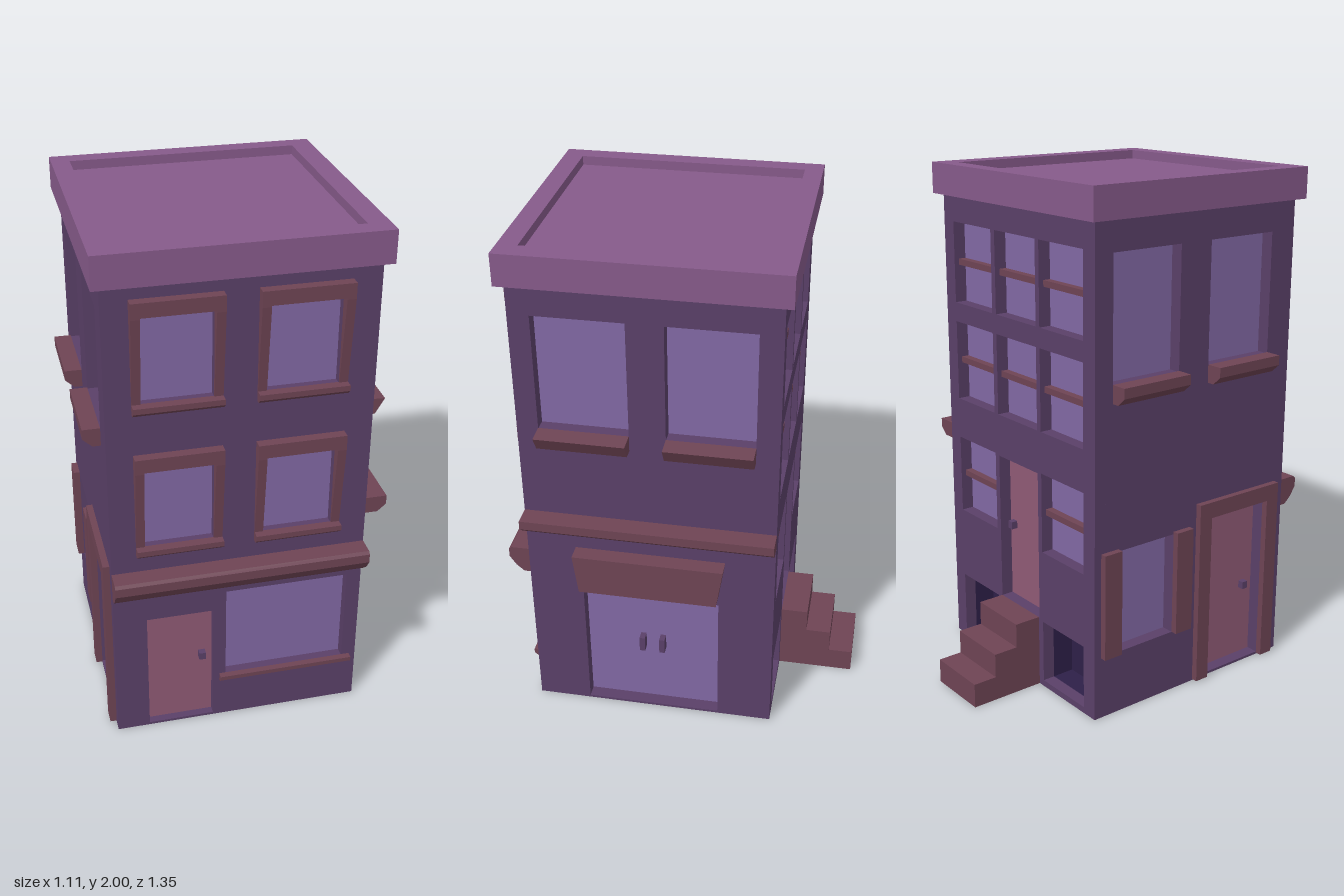
import * as THREE from 'three';

const mat = (color) => new THREE.MeshStandardMaterial({ color, side: THREE.DoubleSide });
const WALL = mat(0x5a4068), GLASS = mat(0x8168a4), TRIM = mat(0x6e4454);
const DOOR = mat(0x8f5a75), ROOF = mat(0x865a8a), DARK = mat(0x2e2048), KNOB = mat(0x5a4068);
const X0 = -0.49, X1 = 0.47, Z0 = -0.37, Z1 = 0.59, H = 1.88, T = 0.05;

function add(group, name, geometry, material) {
  const mesh = new THREE.Mesh(geometry, material);
  mesh.name = name;
  group.add(mesh);
  return mesh;
}

// Box from ranges: u across, y up, d outward
function box(group, name, [u0, u1], [y0, y1], [d0, d1], material) {
  const g = new THREE.BoxGeometry(u1 - u0, y1 - y0, d1 - d0);
  g.translate((u0 + u1) / 2, (y0 + y1) / 2, (d0 + d1) / 2);
  return add(group, name, g, material);
}

const polygon = (points) => new THREE.Shape(points.map(([x, y]) => new THREE.Vector2(x, y)));
const rect = ([u0, u1], [y0, y1]) => [[u0, y0], [u1, y0], [u1, y1], [u0, y1]];

// Profile of [d, y] points drawn out along u
function moulding(group, name, [u0, u1], points, material = TRIM) {
  const g = new THREE.ExtrudeGeometry(polygon(points), { depth: u1 - u0, bevelEnabled: false });
  g.rotateY(-Math.PI / 2).translate(u1, 0, 0);
  return add(group, name, g, material);
}

// Ledge with a chamfered lower edge
function ledge(group, name, u, [y0, y1], d, lip = 0.45) {
  const h = y1 - y0;
  moulding(group, name, u, [[0, y0], [d - h * 0.5, y0], [d, y0 + h * lip], [d, y1], [0, y1]]);
}

// One side of the building: wall pierced by openings, each closed by a recessed pane
function facade(root, name, position, angle, [u0, u1], openings) {
  const group = new THREE.Group();
  group.name = name;
  group.position.set(...position);
  group.rotation.y = angle;
  root.add(group);
  const shape = polygon(rect([u0, u1], [0, H]));
  for (const o of openings) {
    shape.holes.push(polygon(rect(o.u, o.y)));
    if (o.kind === 'basement') {
      const niche = box(group, 'basementNiche', o.u, o.y, [-0.14, -T], DARK);
      niche.material = DARK.clone();
      niche.material.side = THREE.BackSide;
      continue;
    }
    const depth = o.depth ?? T;
    const pane = new THREE.PlaneGeometry(o.u[1] - o.u[0], o.y[1] - o.y[0]);
    pane.translate((o.u[0] + o.u[1]) / 2, (o.y[0] + o.y[1]) / 2, -depth);
    add(group, o.kind === 'door' ? 'door' : 'windowPane', pane, o.kind === 'door' ? DOOR : GLASS);
  }
  const g = new THREE.ExtrudeGeometry(shape, { depth: T, bevelEnabled: false });
  add(group, name + 'Wall', g.translate(0, 0, -T), WALL);
  return group;
}

function knob(group, u, y, depth = T) {
  box(group, 'doorKnob', [u - 0.013, u + 0.013], [y - 0.015, y + 0.015], [-depth, 0.025 - depth], KNOB);
}

function buildFront(root) {
  const columns = [[-0.365, -0.11], [0.075, 0.335]], floors = [0.855, 1.44];
  const shop = { u: [-0.06, 0.415], y: [0.2, 0.6], depth: 0.04 };
  const openings = [shop, { kind: 'door', u: [-0.365, -0.11], y: [0.01, 0.52], depth: 0.03 }];
  for (const u of columns) for (const y of floors) openings.push({ u, y: [y, y + 0.335], depth: 0.03 });
  const f = facade(root, 'front', [0, 0, Z1], 0, [X0, X1], openings);
  for (const [a, b] of columns) for (const y of floors) {
    // Surround leaning out towards its head
    const side = [[0, y], [0.005, y], [0.038, y + 0.33], [0.038, y + 0.388], [0, y + 0.388]];
    moulding(f, 'windowFrameSide', [a - 0.032, a], side);
    moulding(f, 'windowFrameSide', [b, b + 0.032], side);
    box(f, 'windowFrameHead', [a, b], [y + 0.335, y + 0.388], [0, 0.038], TRIM);
    ledge(f, 'windowSill', [a - 0.032, b + 0.032], [y - 0.035, y + 0.003], 0.036);
  }
  ledge(f, 'shopWindowSill', [-0.085, 0.445], [0.175, 0.206], 0.025);
  moulding(f, 'shopCornice', [X0, X1],
    [[0, 0.64], [0.025, 0.64], [0.055, 0.667], [0.08, 0.705], [0.08, 0.74], [0.07, 0.75], [0, 0.75]]);
  knob(f, -0.15, 0.3, 0.03);
}

function buildBack(root) {
  const columns = [-0.275, 0.01, 0.293], rows = [0.575, 1.06, 1.457];
  const windows = [], openings = [];
  columns.forEach((c, i) => {
    const u = [c - 0.13, c + 0.13];
    for (const y of rows) if (i !== 1 || y > 1) windows.push({ u, y: [y, y + 0.32] });
    openings.push(i === 1
      ? { kind: 'door', u, y: [0.29, 0.89] }
      : { kind: 'basement', u, y: [0.025, 0.28] });
  });
  const f = facade(root, 'back', [0, 0, Z0], Math.PI, [-X1, -X0], [...openings, ...windows]);
  for (const { u, y: [y0, y1] } of windows) {
    const m = (y0 + y1) / 2;
    box(f, 'windowBar', u, [m - 0.012, m + 0.012], [-T, -0.02], TRIM);
  }
  knob(f, -0.09, 0.6);
  // Stairs up to the back door
  moulding(f, 'backStairs', [-0.12, 0.135],
    [[0, 0], [0.305, 0], [0.305, 0.097], [0.208, 0.097], [0.208, 0.193], [0.108, 0.193], [0.108, 0.29], [0, 0.29]]);
}

// The +x side, with the double door; u runs along -z
function buildDoubleDoorSide(root) {
  const windows = [[-0.51, -0.175], [-0.04, 0.285]];
  const openings = windows.map((u) => ({ u, y: [1.31, 1.765] }));
  openings.push({ u: [-0.38, 0.155], y: [0.01, 0.575] });
  const f = facade(root, 'doubleDoorSide', [X1, 0, 0], Math.PI / 2, [-Z1 + T, -Z0 - T], openings);
  for (const u of windows)
    moulding(f, 'windowSill', u, [[0, 1.25], [0.04, 1.25], [0.075, 1.31], [0, 1.313]]);
  ledge(f, 'sideBand', [-Z1, -Z0], [0.875, 0.94], 0.08);
  // Sign board, wider at the top
  const board = polygon([[-0.38, 0.62], [0.155, 0.62], [0.18, 0.785], [-0.4, 0.785]]);
  add(f, 'signBoard', new THREE.ExtrudeGeometry(board, { depth: 0.065, bevelEnabled: false }), TRIM);
  for (const u of [-0.155, -0.075])
    box(f, 'doorHandle', [u - 0.011, u + 0.011], [0.28, 0.345], [-T, -0.015], KNOB);
}

// The -x side, with shutters and a framed door; u runs along +z
function buildShutterSide(root) {
  const windows = [[-0.29, 0.02], [0.165, 0.475]];
  const openings = windows.map((u) => ({ u, y: [1.295, 1.765] }));
  openings.push({ u: [-0.26, 0.01], y: [0.25, 0.66] });
  openings.push({ kind: 'door', u: [0.185, 0.485], y: [0.01, 0.69] });
  const f = facade(root, 'shutterSide', [X0, 0, 0], -Math.PI / 2, [Z0 + T, Z1 - T], openings);
  for (const u of windows) ledge(f, 'windowSill', u, [1.23, 1.3], 0.065);
  for (const u of [[-0.34, -0.26], [0.01, 0.09]]) box(f, 'shutter', u, [0.25, 0.67], [0, 0.025], TRIM);
  for (const u of [[0.125, 0.185], [0.485, 0.545]]) box(f, 'doorFrameSide', u, [0.005, 0.755], [0, 0.025], TRIM);
  box(f, 'doorFrameHead', [0.185, 0.485], [0.69, 0.755], [0, 0.025], TRIM);
  knob(f, 0.43, 0.32);
}

// Overhanging flat roof with a raised rim
function buildRoof(root) {
  const rim = polygon(rect([-0.52, 0.5], [-0.62, 0.4]));
  rim.holes.push(polygon(rect([-0.45, 0.42], [-0.545, 0.33])));
  const g = new THREE.ExtrudeGeometry(rim, { depth: 0.12, bevelEnabled: false });
  add(root, 'roofRim', g.rotateX(-Math.PI / 2).translate(0, H, 0), ROOF);
  box(root, 'roofDeck', [-0.45, 0.42], [H, 1.965], [-0.33, 0.545], ROOF);
}

export function createModel() {
  const root = new THREE.Group();
  root.name = 'townHouse';
  buildFront(root);
  buildBack(root);
  buildDoubleDoorSide(root);
  buildShutterSide(root);
  buildRoof(root);
  return root;
}
